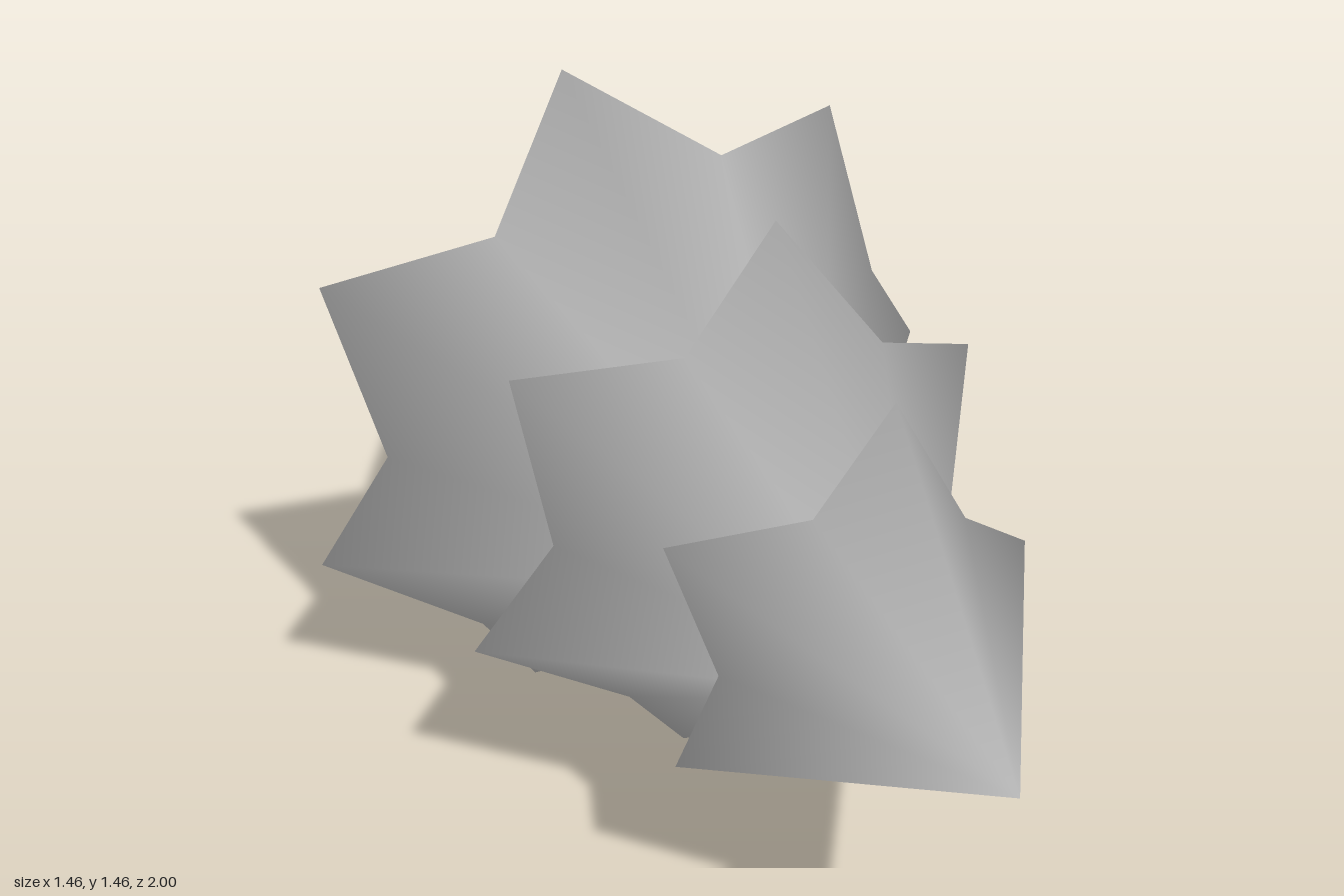
import * as THREE from 'three';

// Closed solid along z: front centre, loops of [x, y, z] points, back centre
function solid(frontZ, loops, backZ) {
  const n = loops[0].length;
  const points = [[0, 0, frontZ], ...loops.flat(), [0, 0, backZ]].map(p => new THREE.Vector3(...p));
  const last = points.length - 1;
  const faces = [];
  for (let i = 0; i < n; i++) {
    const j = (i + 1) % n;
    faces.push([0, 1 + i, 1 + j]);
    for (let k = 0; k < loops.length - 1; k++) {
      const a = 1 + k * n, b = a + n;
      faces.push([a + i, b + i, b + j], [a + i, b + j, a + j]);
    }
    const r = last - n;
    faces.push([last, r + j, r + i]);
  }

  // Smooth normals weighted by corner angle
  const normals = points.map(() => new THREE.Vector3());
  for (const f of faces) {
    const [a, b, c] = f.map(i => points[i]);
    const normal = b.clone().sub(a).cross(c.clone().sub(a)).normalize();
    f.forEach((v, k) => {
      const e1 = points[f[(k + 1) % 3]].clone().sub(points[v]);
      const e2 = points[f[(k + 2) % 3]].clone().sub(points[v]);
      normals[v].addScaledVector(normal, e1.angleTo(e2));
    });
  }
  normals.forEach(v => v.normalize());

  const g = new THREE.BufferGeometry();
  g.setAttribute('position', new THREE.Float32BufferAttribute(points.flatMap(p => p.toArray()), 3));
  g.setAttribute('normal', new THREE.Float32BufferAttribute(normals.flatMap(p => p.toArray()), 3));
  g.setIndex(faces.flat());
  return g;
}

// Regular loop; corner(i) gives its radius and z
function loop(count, phase, corner) {
  return Array.from({ length: count }, (_, i) => {
    const a = THREE.MathUtils.degToRad(phase) + (i / count) * Math.PI * 2;
    const [r, z] = corner(i);
    return [r * Math.cos(a), r * Math.sin(a), z];
  });
}

export function createModel() {
  const grey = new THREE.MeshStandardMaterial({ color: 0xcccccc });
  grey.name = 'grey';

  const model = new THREE.Group();
  model.name = 'tree';

  // The whole tree lies along z with a slight lean
  const tree = new THREE.Group();
  tree.name = 'lyingTree';
  tree.position.set(-0.014, 0.73, 0);
  tree.rotation.set(-0.021, 0.007, 0);
  model.add(tree);

  const add = (name, geometry) => {
    const mesh = new THREE.Mesh(geometry, grey);
    mesh.name = name;
    tree.add(mesh);
  };

  // Star-shaped branch tiers: points reach further out and back than valleys
  const tiers = [
    { name: 'topBranches', points: 5, phase: 73, apex: 1, tip: [0.43, 0.36], valley: [0.29, 0.445], under: 0.48 },
    { name: 'middleBranches', points: 6, phase: 78.9, apex: 0.7, tip: [0.6, -0.08], valley: [0.44, 0.037], under: 0.09 },
    { name: 'bottomBranches', points: 7, phase: 96.9, apex: 0.335, tip: [0.753, -0.6], valley: [0.588, -0.452], under: -0.38 },
  ];
  for (const t of tiers) {
    const rim = loop(t.points * 2, t.phase, i => (i % 2 ? t.valley : t.tip));
    add(t.name, solid(t.apex, [rim], t.under));
  }

  // Four-sided trunk flaring towards its foot
  add('trunk', solid(-0.3, [
    loop(4, 18, () => [0.112, -0.3]),
    loop(4, 18, () => [0.205, -0.996]),
  ], -0.996));

  return model;
}
